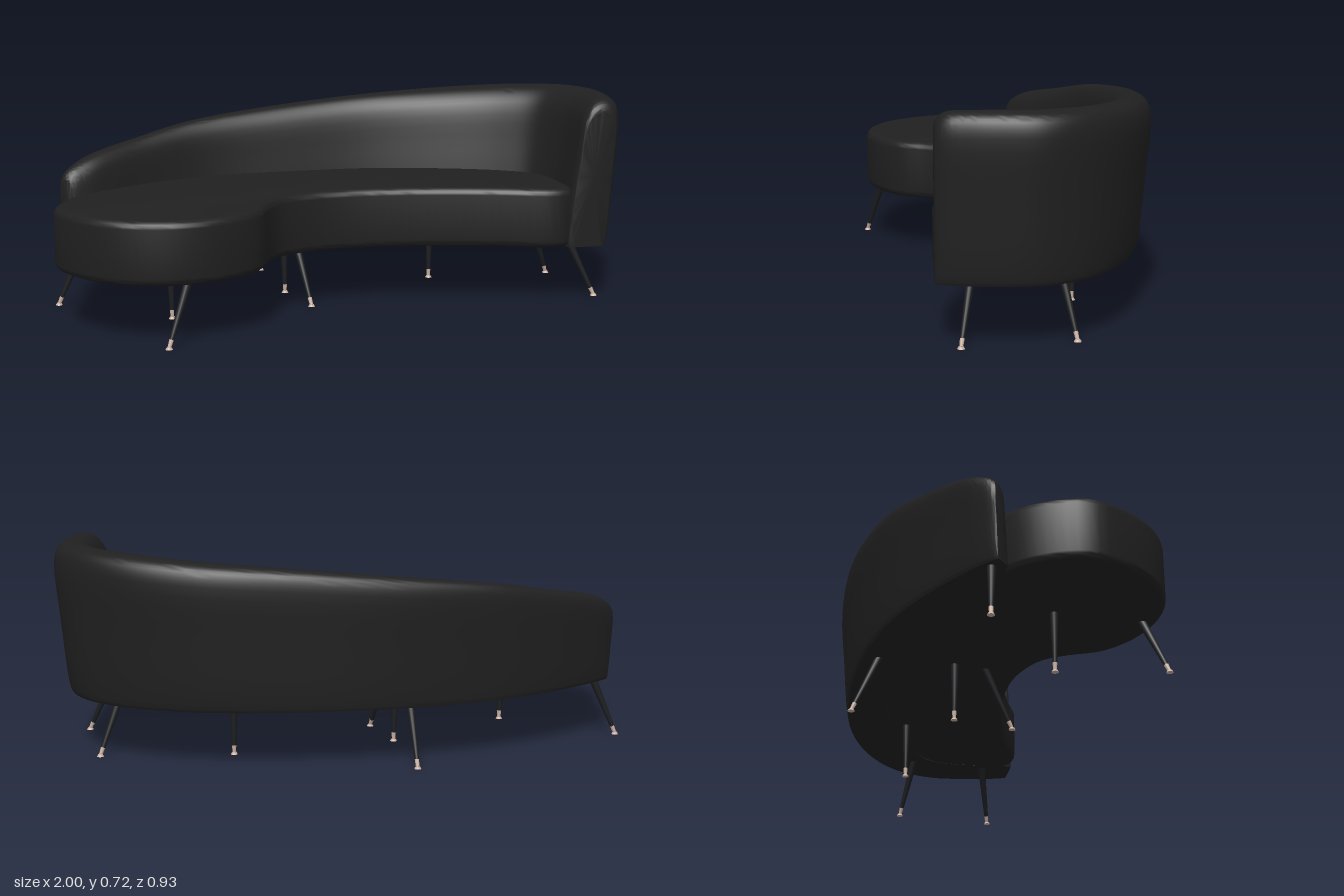
import * as THREE from 'three';
import { toCreasedNormals } from 'three/addons/utils/BufferGeometryUtils.js';

const fabric = new THREE.MeshStandardMaterial({ name: 'black fabric', color: 0x202020 });
const legPaint = new THREE.MeshStandardMaterial({ name: 'black leg', color: 0x1c1d1f });
const brass = new THREE.MeshStandardMaterial({ name: 'pale brass', color: 0xc8b0a0 });

const BASE = 0.2; // underside of the upholstery

function addMesh(parent, name, geometry, material) {
  const mesh = new THREE.Mesh(geometry, material);
  mesh.name = name;
  parent.add(mesh);
  return mesh;
}

// Kidney-shaped cushion with softly rounded edges
function seatGeometry() {
  const outline = [
    [-1, 0.1], [-0.97, 0.22], [-0.88, 0.35], [-0.75, 0.43], [-0.62, 0.45], [-0.48, 0.42],
    [-0.37, 0.35], [-0.31, 0.25], [-0.25, 0.18], [-0.14, 0.14], [0, 0.13], [0.2, 0.16],
    [0.4, 0.22], [0.55, 0.28], [0.68, 0.34], [0.76, 0.33], [0.79, 0.2], [0.78, 0.03],
    [0.69, -0.07], [0.5, -0.18], [0.22, -0.28], [0, -0.305], [-0.2, -0.315], [-0.4, -0.305],
    [-0.6, -0.25], [-0.8, -0.15], [-0.93, -0.05],
  ].map(([x, z]) => new THREE.Vector3(x, z, 0));
  const curve = new THREE.CatmullRomCurve3(outline, true);
  const shape = new THREE.Shape(curve.getSpacedPoints(140).slice(0, -1).map((p) => new THREE.Vector2(p.x, p.y)));
  const bevel = 0.025;
  const geometry = new THREE.ExtrudeGeometry(shape, {
    depth: 0.21 - 2 * bevel, steps: 1, bevelEnabled: true,
    bevelSize: bevel, bevelThickness: bevel, bevelOffset: -bevel, bevelSegments: 5,
  });
  geometry.rotateX(Math.PI / 2);
  geometry.translate(0, 0.41 - bevel, 0);
  return toCreasedNormals(geometry, 0.7);
}

// Leaning back that sweeps round into the arm: a section lofted between two plan curves
function backGeometry() {
  // inner x, inner z, outer x, outer z, height
  const stations = [
    [-0.89, -0.12, -0.945, -0.175, 0.47],
    [-0.8, -0.14, -0.86, -0.24, 0.515],
    [-0.6, -0.24, -0.64, -0.345, 0.562],
    [-0.4, -0.3, -0.43, -0.41, 0.602],
    [-0.1, -0.31, -0.1, -0.45, 0.638],
    [0.22, -0.28, 0.25, -0.43, 0.67],
    [0.5, -0.18, 0.57, -0.37, 0.694],
    [0.68, -0.08, 0.8, -0.255, 0.71],
    [0.77, 0, 0.94, -0.11, 0.718],
    [0.79, 0.12, 0.995, 0.04, 0.72],
    [0.775, 0.24, 0.975, 0.2, 0.72],
    [0.755, 0.345, 0.925, 0.36, 0.715],
  ];
  const inner = new THREE.CatmullRomCurve3(stations.map((s) => new THREE.Vector3(s[0], s[4], s[1])));
  const outer = new THREE.CatmullRomCurve3(stations.map((s) => new THREE.Vector3(s[2], s[4], s[3])));

  // section: fraction from inner to outer, fraction of height
  const section = new THREE.CatmullRomCurve3([
    [-0.08, 0], [-0.05, 0.2], [0, 0.35], [0.1, 0.6], [0.22, 0.86], [0.38, 0.96], [0.58, 1],
    [0.82, 0.995], [0.95, 0.95], [1, 0.86], [0.93, 0.5], [0.82, 0.06], [0.77, 0], [0.4, 0],
  ].map(([f, g]) => new THREE.Vector3(f, g, 0)), true).getPoints(56).slice(0, -1);

  const rows = 110, n = section.length, round = 0.035;
  const positions = [], index = [];
  for (let i = 0; i <= rows; i++) {
    // denser rows near both ends for the rounding
    const t = (1 - Math.cos((Math.PI * i) / rows)) / 2;
    const a = inner.getPoint(t), b = outer.getPoint(t);
    const u = Math.max(0, 1 - Math.min(t, 1 - t) / round);
    const drop = 1 - Math.sqrt(1 - u * u);
    for (const p of section) {
      const f = 0.45 + (p.x - 0.45) * (1 - 0.22 * drop);
      const g = Math.max(0, p.y) * (1 - 0.09 * drop);
      positions.push(a.x + (b.x - a.x) * f, BASE + (a.y - BASE) * g, a.z + (b.z - a.z) * f);
    }
  }
  for (let i = 0; i < rows; i++) {
    for (let j = 0; j < n; j++) {
      const k = (j + 1) % n, r = i * n, s = r + n;
      index.push(r + j, s + j, r + k, s + j, s + k, r + k);
    }
  }
  // end caps
  for (const row of [0, rows]) {
    const centre = positions.length / 3, c = [0, 0, 0], start = row * n;
    for (let j = 0; j < n; j++) for (let d = 0; d < 3; d++) c[d] += positions[(start + j) * 3 + d] / n;
    positions.push(...c);
    for (let j = 0; j < n; j++) {
      const p = start + j, q = start + ((j + 1) % n);
      if (row === 0) index.push(centre, p, q);
      else index.push(centre, q, p);
    }
  }
  const geometry = new THREE.BufferGeometry();
  geometry.setAttribute('position', new THREE.Float32BufferAttribute(positions, 3));
  geometry.setIndex(index);
  return toCreasedNormals(geometry, 0.7);
}

// Tapered leg with a metal ferrule and a small foot disc
function makeLeg([footX, footZ, topX, topZ]) {
  const leg = new THREE.Group();
  leg.name = 'leg';
  const foot = new THREE.Vector3(footX, 0.004, footZ);
  const axis = new THREE.Vector3(topX, BASE + 0.01, topZ).sub(foot);
  const length = axis.length();
  const tilt = new THREE.Quaternion().setFromUnitVectors(new THREE.Vector3(0, 1, 0), axis.clone().normalize());
  const place = (name, r1, r0, from, to, material) => {
    const mesh = addMesh(leg, name, new THREE.CylinderGeometry(r1, r0, to - from, 16), material);
    mesh.quaternion.copy(tilt);
    mesh.position.copy(foot).addScaledVector(axis, (from + to) / 2 / length);
  };
  place('legShaft', 0.0145, 0.0075, 0.028, length, legPaint);
  place('ferrule', 0.0075, 0.006, 0.002, 0.028, brass);
  const disc = addMesh(leg, 'footDisc', new THREE.CylinderGeometry(0.008, 0.012, 0.007, 16), brass);
  disc.position.set(footX, 0.0035, footZ);
  return leg;
}

export function createModel() {
  const sofa = new THREE.Group();
  sofa.name = 'curvedSofa';
  addMesh(sofa, 'seatCushion', seatGeometry(), fabric);
  addMesh(sofa, 'backrestAndArm', backGeometry(), fabric);

  // foot x, foot z, top x, top z
  const legs = [
    [-0.955, -0.19, -0.87, -0.165], [-0.7, 0.45, -0.62, 0.395], [-0.615, 0.105, -0.62, 0.105],
    [-0.15, -0.452, -0.145, -0.36], [-0.12, 0.105, -0.145, 0], [-0.155, -0.105, -0.16, -0.105],
    [0.42, -0.15, 0.42, -0.15], [0.885, 0.28, 0.795, 0.235], [0.87, -0.078, 0.79, -0.04],
  ];
  legs.forEach((spec) => sofa.add(makeLeg(spec)));
  return sofa;
}
